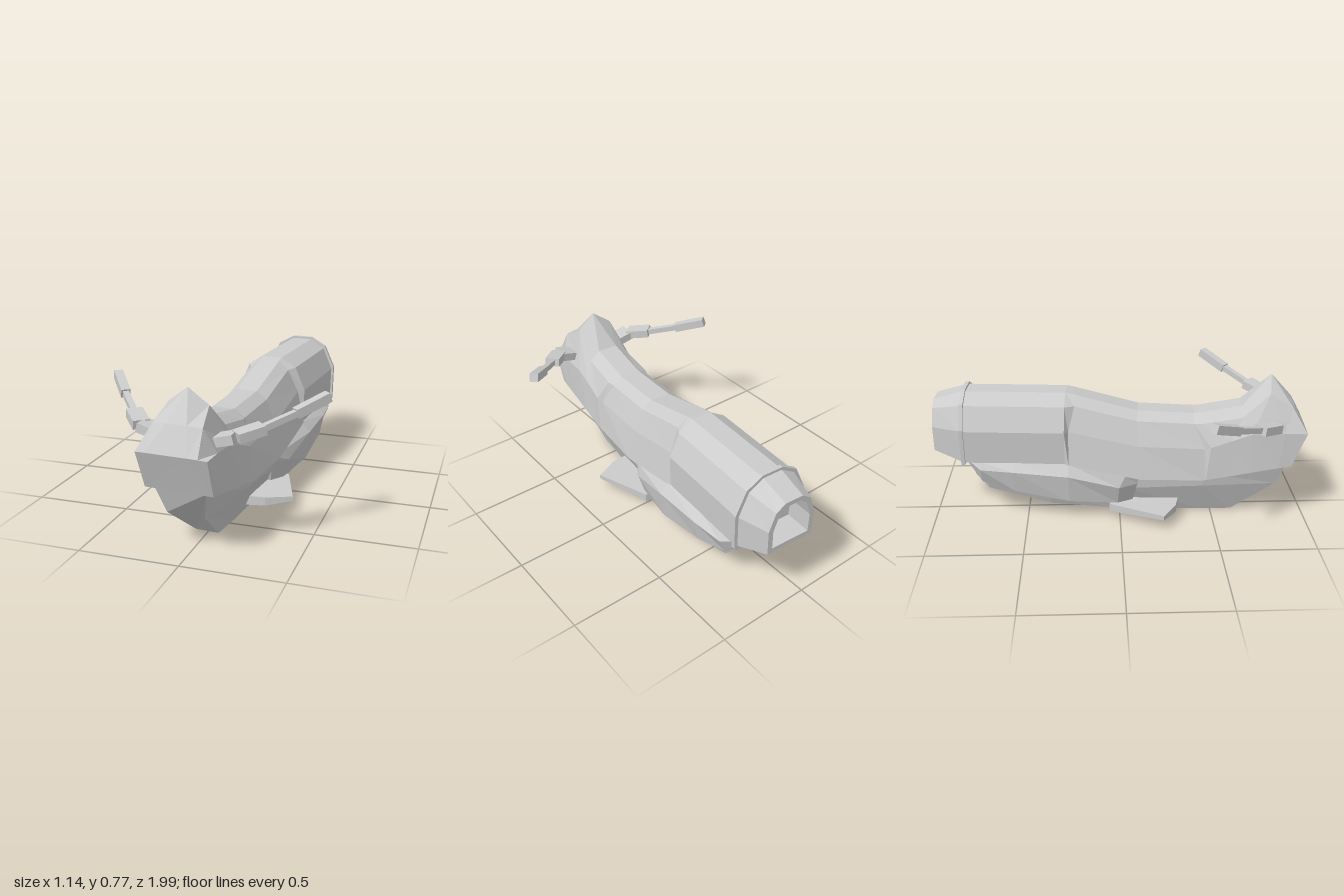
import * as THREE from 'three';
import { ConvexGeometry } from 'three/addons/geometries/ConvexGeometry.js';

const material = new THREE.MeshStandardMaterial({ color: 0xcccccc, flatShading: true });

// Skins sections ordered front to back; each lists +x points from top to bottom and is mirrored.
function loft(name, halves) {
  const rings = halves.map(h => [
    ...h, ...[...h].reverse().map(([x, y, z]) => [-x, y, z]),
  ]);
  const n = rings[0].length, pos = [];
  const tri = (a, b, c) => pos.push(...a, ...b, ...c);
  for (let i = 0; i < rings.length - 1; i++) {
    for (let j = 0; j < n; j++) {
      const k = (j + 1) % n, r = rings[i], s = rings[i + 1];
      tri(r[j], r[k], s[k]);
      tri(r[j], s[k], s[j]);
    }
  }
  const first = rings[0], last = rings[rings.length - 1];
  for (let j = 1; j < n - 1; j++) {
    tri(first[0], first[j + 1], first[j]);
    tri(last[0], last[j], last[j + 1]);
  }
  const g = new THREE.BufferGeometry();
  g.setAttribute('position', new THREE.Float32BufferAttribute(pos, 3));
  g.computeVertexNormals();
  return named(name, g);
}

function named(name, geometry) {
  const m = new THREE.Mesh(geometry, material);
  m.name = name;
  return m;
}

// Places a flat section at one z.
const at = (z, pts) => pts.map(([x, y]) => [x, y, z]);

// Box running from a to b.
function bar(name, a, b, w, h) {
  const p = new THREE.Vector3(...a), q = new THREE.Vector3(...b);
  const m = named(name, new THREE.BoxGeometry(w, h, p.distanceTo(q)));
  m.position.copy(p).lerp(q, 0.5);
  m.lookAt(q);
  return m;
}

export function createModel() {
  const root = new THREE.Group();
  root.name = 'hoverBike';
  const bike = new THREE.Group();
  bike.name = 'bike';
  // The whole machine is turned slightly
  bike.rotation.y = -0.07;
  bike.position.x = 0.037;
  root.add(bike);

  // Upper hull: nose, peaked cowl, recessed saddle, raised tail
  const tail = [[0.055, 0.675], [0.138, 0.625], [0.192, 0.5], [0.188, 0.32]];
  bike.add(loft('upperHull', [
    [[0.08, 0.512, 0.985], [0.13, 0.512, 0.985], [0.175, 0.51, 0.985], [0.17, 0.32, 0.915]],
    [[0.05, 0.635, 0.92], [0.122, 0.63, 0.91], [0.172, 0.51, 0.87], [0.174, 0.31, 0.85]],
    [[0.001, 0.775, 0.8], [0.1, 0.7, 0.79], [0.168, 0.5, 0.7], [0.176, 0.28, 0.7]],
    [[0.055, 0.615, 0.65], [0.115, 0.57, 0.65], [0.166, 0.46, 0.6], [0.178, 0.26, 0.6]],
    [[0.055, 0.573, 0.43], [0.12, 0.535, 0.44], [0.17, 0.42, 0.49], [0.18, 0.235, 0.47]],
    [[0.055, 0.57, 0.4], [0.11, 0.53, 0.4], [0.155, 0.405, 0.46], [0.18, 0.232, 0.455]],
    [[0.055, 0.58, 0.1], [0.11, 0.54, 0.1], [0.16, 0.415, 0.11], [0.198, 0.24, 0.12]],
    [[0.055, 0.667, -0.24], [0.11, 0.62, -0.23], [0.16, 0.495, -0.26], [0.198, 0.318, -0.26]],
    at(-0.28, tail),
    at(-0.82, tail),
  ]));

  // Collar around the tail
  const collar = tail.map(([x, y]) => [x * 1.06, y + (y > 0.4 ? 0.012 : -0.008)]);
  bike.add(loft('collar', [at(-0.81, collar), at(-0.83, collar)]));

  // Hollow exhaust nozzle
  const rim = [[0.05, 0.63], [0.1, 0.595], [0.135, 0.5], [0.132, 0.365]];
  const bore = [[0.04, 0.605], [0.08, 0.575], [0.108, 0.49], [0.106, 0.39]];
  bike.add(loft('nozzle', [
    at(-0.82, tail.map(([x, y]) => [x * 0.98, y])), at(-0.985, rim), at(-0.985, bore), at(-0.85, bore),
  ]));

  // Belly tapering down to a flat keel
  bike.add(loft('belly', [
    [[0.13, 0.322, 0.9], [0.095, 0.18, 0.85], [0.06, 0, 0.62]],
    [[0.15, 0.26, 0.47], [0.14, 0.18, 0.45], [0.07, 0, 0.45]],
    [[0.155, 0.26, 0.1], [0.145, 0.16, 0.05], [0.075, 0, 0.02]],
    [[0.17, 0.32, -0.36], [0.16, 0.18, -0.36], [0.09, 0.05, -0.36]],
    [[0.16, 0.32, -0.7], [0.15, 0.24, -0.7], [0.09, 0.145, -0.7]],
    [[0.13, 0.33, -0.82], [0.12, 0.325, -0.82], [0.09, 0.315, -0.82]],
  ]));

  // Side pods bulging out behind the belly
  bike.add(loft('sidePods', [
    [[0.145, 0.24, 0.13], [0.145, 0.19, 0.11], [0.13, 0.085, 0.08]],
    [[0.185, 0.25, 0.04], [0.205, 0.19, 0.01], [0.175, 0.085, 0]],
    at(-0.26, [[0.19, 0.32], [0.235, 0.265], [0.215, 0.112]]),
    at(-0.55, [[0.188, 0.322], [0.23, 0.285], [0.205, 0.163]]),
    at(-0.73, [[0.185, 0.322], [0.207, 0.285], [0.17, 0.2]]),
    at(-0.82, [[0.15, 0.335], [0.145, 0.328], [0.13, 0.32]]),
  ]));

  // Narrow rails under the pods
  bike.add(loft('rails', [
    at(0.15, [[0.14, 0.083], [0.13, 0.038]]),
    at(-0.02, [[0.16, 0.085], [0.145, 0.038]]),
    at(-0.36, [[0.19, 0.128], [0.17, 0.075]]),
    at(-0.7, [[0.16, 0.19], [0.145, 0.15]]),
    at(-0.77, [[0.145, 0.25], [0.13, 0.225]]),
  ]));

  for (const s of [1, -1]) {
    const side = s > 0 ? 'left' : 'right';

    // Forward-swept foot fin: plan x, z with underside height
    const plan = [[0.08, -0.06, 0.035], [0.19, -0.04, 0.04], [0.313, 0.25, 0.06],
      [0.186, 0.315, 0.04], [0.08, 0.33, 0.035]];
    const corners = plan.flatMap(([x, z, y]) => [
      new THREE.Vector3(s * x, y, z), new THREE.Vector3(s * x, 0.085, z),
    ]);
    bike.add(named(side + 'FootFin', new ConvexGeometry(corners)));

    // Swept-back handlebar
    const handlebar = new THREE.Group();
    handlebar.name = side + 'Handlebar';
    const P = [[0.12, 0.545, 0.815], [0.235, 0.575, 0.81], [0.325, 0.598, 0.715],
      [0.437, 0.645, 0.595], [0.55, 0.703, 0.468]].map(([x, y, z]) => [s * x, y, z]);
    handlebar.add(
      bar('barRoot', P[0], P[1], 0.095, 0.045),
      bar('barElbow', P[1], P[2], 0.08, 0.045),
      bar('barShaft', P[2], P[3], 0.03, 0.03),
      bar('grip', P[3], P[4], 0.045, 0.045),
    );
    bike.add(handlebar);
  }
  return root;
}
